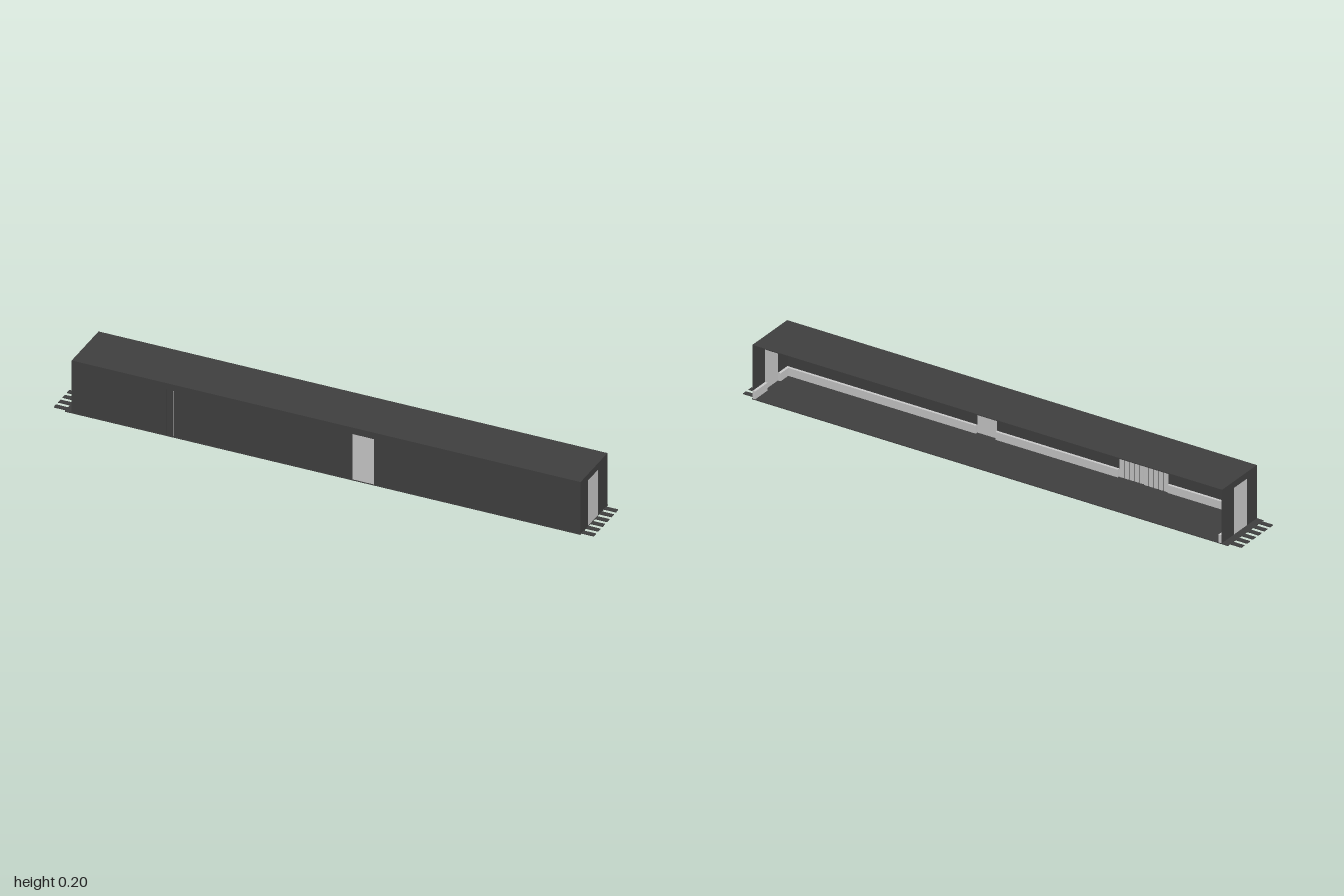
import * as THREE from 'three';

const dark = new THREE.MeshStandardMaterial({ color: 0x404040, side: THREE.DoubleSide });
const grey = new THREE.MeshStandardMaterial({ color: 0xcccccc, side: THREE.DoubleSide });

const X0 = -0.93, X1 = 0.955;      // end walls
const Z0 = -0.105, Z1 = 0.107;     // open back, front wall
const H = 0.205, DOOR_H = 0.18, T = 0.003, FLOOR = 0.003;
const DOOR = [0.11, 0.19], SCREEN = [-0.58, -0.38], END_DOOR = [-0.033, 0.047];

export function createModel() {
  const model = new THREE.Group();

  // box given by its min and max corners
  function box(name, mat, x0, x1, y0, y1, z0, z1, parent = model) {
    const mesh = new THREE.Mesh(new THREE.BoxGeometry(x1 - x0, y1 - y0, z1 - z0), mat);
    mesh.position.set((x0 + x1) / 2, (y0 + y1) / 2, (z0 + z1) / 2);
    mesh.name = name;
    parent.add(mesh);
    return mesh;
  }

  // wall in the xy plane with openings cut up from the ground
  function wall(name, a, b, openings) {
    const s = new THREE.Shape();
    s.moveTo(a, 0);
    for (const [l, r] of openings) {
      s.lineTo(l, 0);
      s.lineTo(l, DOOR_H);
      s.lineTo(r, DOOR_H);
      s.lineTo(r, 0);
    }
    s.lineTo(b, 0);
    s.lineTo(b, H);
    s.lineTo(a, H);
    s.closePath();
    const mesh = new THREE.Mesh(new THREE.ExtrudeGeometry(s, { depth: T, bevelEnabled: false }), dark);
    mesh.name = name;
    model.add(mesh);
    return mesh;
  }

  // floor with overhanging strips at both ends
  box('floor', dark, -0.955, 0.955, 0, FLOOR, -0.108, 0.108);
  for (const side of [-1, 1]) {
    for (let i = 0; i < 6; i++) {
      const z = -0.085 + i * 0.035;
      const a = side * 0.955, b = side;
      box('floorStrip', dark, Math.min(a, b), Math.max(a, b), 0, FLOOR, z - 0.009, z + 0.009);
    }
  }

  // roof, front wall and the two end walls; the back is open
  box('roof', dark, X0, X1, H - T, H, Z0, Z1);
  wall('frontWall', X0, X1, [SCREEN, DOOR]).position.z = Z1 - T;
  for (const x of [X0, X1 - T]) {
    const end = wall('endWall', -Z1, -Z0, [[-END_DOOR[1], -END_DOOR[0]]]);
    end.rotation.y = Math.PI / 2;
    end.position.x = x;
  }

  // door leaves
  box('frontDoor', grey, DOOR[0], DOOR[1], FLOOR, DOOR_H, Z1 - T, Z1 - 0.001);
  for (const x of [X0, X1 - T]) {
    box('endDoor', grey, x + 0.0005, x + T - 0.0005, FLOOR, DOOR_H, END_DOOR[0], END_DOOR[1]);
  }

  // two-leaf slatted screen: dark outside with a narrow gap, pale slats inside
  const screen = new THREE.Group();
  screen.name = 'slattedScreen';
  model.add(screen);
  const gap = -0.555;
  box('screenPanel', dark, SCREEN[0], gap - 0.001, FLOOR, DOOR_H, Z1 - T, Z1 - 0.001, screen);
  box('screenPanel', dark, gap + 0.001, SCREEN[1], FLOOR, DOOR_H, Z1 - T, Z1 - 0.001, screen);
  for (let i = 0; i < 10; i++) {
    const x = SCREEN[0] + 0.02 * i;
    const z = Z1 - (i < 5 ? 0.009 : 0.006);
    box('screenSlat', grey, x + 0.002, x + 0.017, FLOOR, 0.175, z, Z1 - T, screen);
  }

  // skirting along the inside of the walls, broken at the openings
  const SK = 0.033, D = 0.01;
  const runs = [[X0 + T, SCREEN[0]], [SCREEN[1], DOOR[0]], [DOOR[1], X1 - T]];
  for (const [a, b] of runs) box('frontSkirting', grey, a, b, FLOOR, SK, Z1 - T - D, Z1 - T);
  for (const x of [X0 + T, X1 - T - D]) {
    box('endSkirting', grey, x, x + D, FLOOR, SK, -0.108, END_DOOR[0]);
    box('endSkirting', grey, x, x + D, FLOOR, SK, END_DOOR[1], Z1 - T - D);
  }

  return model;
}
